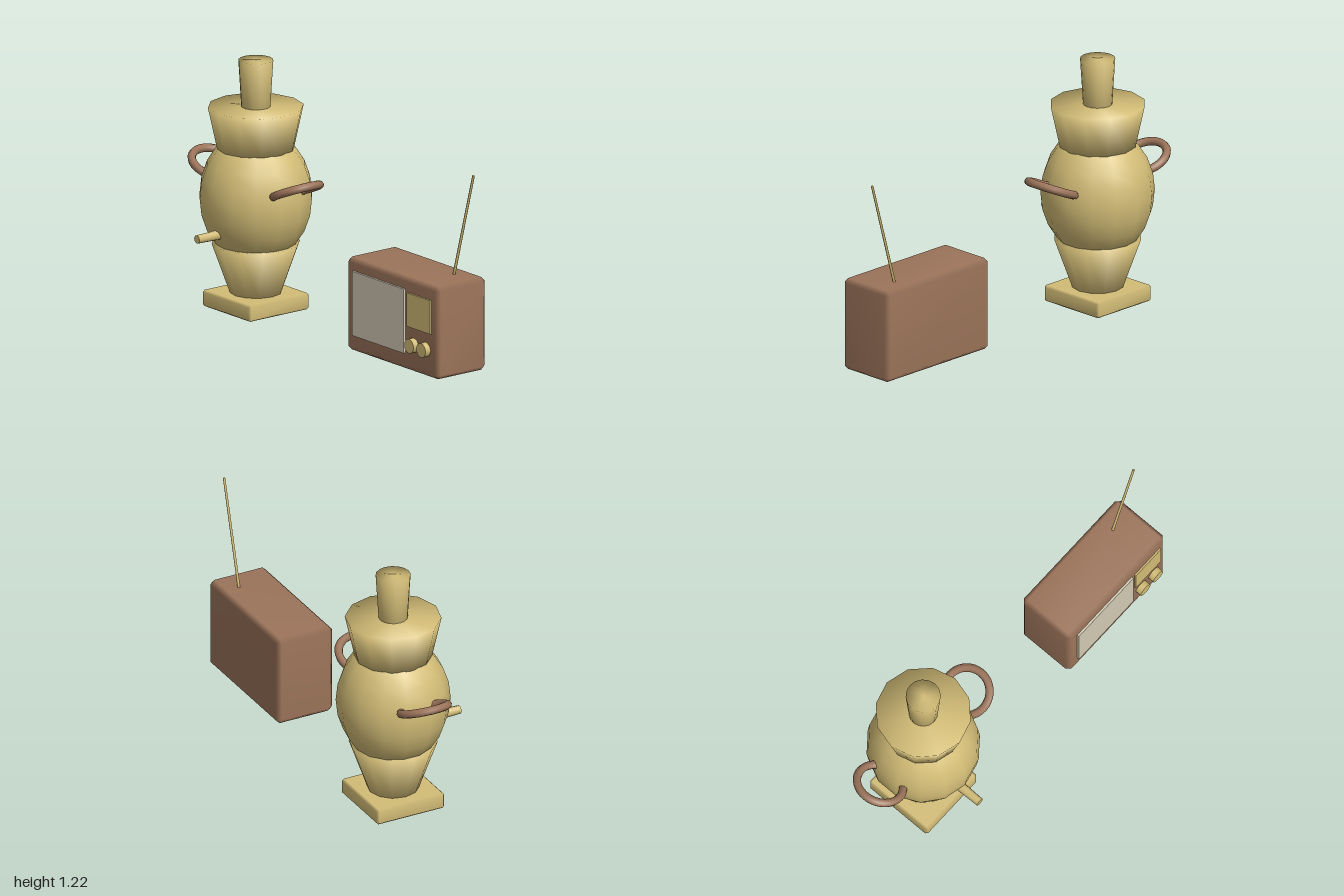
import * as THREE from 'three';
import { mergeVertices } from 'three/addons/utils/BufferGeometryUtils.js';
import { ConvexGeometry } from 'three/addons/geometries/ConvexGeometry.js';

const mat = (name, color) => {
  const m = new THREE.MeshStandardMaterial({ color });
  m.name = name;
  return m;
};

// Chamfered box with softly averaged normals
function chamferBox(w, h, d, c) {
  const pts = [];
  for (const x of [-1, 1]) for (const y of [-1, 1]) for (const z of [-1, 1])
    for (let axis = 0; axis < 3; axis++) {
      const half = [w / 2, h / 2, d / 2].map((s, i) => (i === axis ? s : s - c));
      pts.push(new THREE.Vector3(x * half[0], y * half[1], z * half[2]));
    }
  let g = new ConvexGeometry(pts);
  g.deleteAttribute('normal');
  g = mergeVertices(g, 1e-4);
  g.computeVertexNormals();
  return g;
}

// Closed solid of revolution from [radius, y] pairs, bottom to top
const turned = (profile, sides) =>
  new THREE.LatheGeometry(profile.map(([r, y]) => new THREE.Vector2(r, y)), sides);

export function createModel() {
  const model = new THREE.Group();
  const gold = mat('brass', 0xd2bc76);
  const brown = mat('brown', 0x9c745a);
  const cream = mat('screen cream', 0xd2cab4);

  const add = (parent, name, geometry, material, x = 0, y = 0, z = 0) => {
    const mesh = new THREE.Mesh(geometry, material);
    mesh.name = name;
    mesh.position.set(x, y, z);
    parent.add(mesh);
    return mesh;
  };

  // Urn
  const urn = new THREE.Group();
  urn.name = 'urn';
  urn.position.set(-0.573, 0, -0.04);
  model.add(urn);

  add(urn, 'base', chamferBox(0.362, 0.08, 0.362, 0.01), gold, 0, 0.04, 0);
  add(urn, 'lowerCup', turned([[0, 0.07], [0.12, 0.07], [0.21, 0.322], [0, 0.322]], 12), gold);

  const belly = [];
  for (let i = 0; i <= 12; i++) {
    const a = (i / 12) * Math.PI;
    belly.push([0.271 * Math.sin(a), 0.55 - 0.32 * Math.cos(a)]);
  }
  add(urn, 'belly', turned(belly, 14), gold);

  add(urn, 'neck', turned([[0, 0.785], [0.184, 0.785], [0.228, 0.988], [0, 0.988]], 12), gold);
  add(urn, 'chimney', turned([[0, 0.97], [0.068, 0.97], [0.083, 1.215], [0, 1.215]], 16), gold);

  const spout = add(urn, 'spout', new THREE.CylinderGeometry(0.021, 0.027, 0.2, 8), gold, 0, 0.398, 0.255);
  spout.rotation.x = Math.PI / 2;

  // Ring handles, tilted upward and open towards the belly
  const arc = 4.6;
  for (const side of [-1, 1]) {
    const handle = new THREE.Group();
    handle.name = side > 0 ? 'leftHandle' : 'rightHandle';
    handle.position.set(side * 0.308, 0.642, 0);
    handle.rotation.z = side * 0.42;
    const ring = new THREE.TorusGeometry(0.113, 0.02, 8, 28, arc);
    ring.rotateZ(-arc / 2 + (side < 0 ? Math.PI : 0));
    ring.rotateX(Math.PI / 2);
    add(handle, 'handleRing', ring, brown);
    urn.add(handle);
  }

  // Portable television
  const set = new THREE.Group();
  set.name = 'television';
  model.add(set);

  add(set, 'cabinet', chamferBox(0.69, 0.455, 0.3, 0.021), brown, 0.638, 0.2475, -0.04);
  add(set, 'screen', new THREE.BoxGeometry(0.39, 0.315, 0.012), cream, 0.547, 0.26, 0.115);
  add(set, 'tuningPanel', new THREE.BoxGeometry(0.18, 0.165, 0.012), gold, 0.85, 0.322, 0.113);
  for (const x of [0.806, 0.896]) {
    const knob = add(set, 'knob', new THREE.CylinderGeometry(0.035, 0.035, 0.04, 16), gold, x, 0.155, 0.12);
    knob.rotation.x = Math.PI / 2;
  }

  // Slanted aerial
  const foot = new THREE.Vector3(0.842, 0.46, -0.1);
  const tip = new THREE.Vector3(0.993, 0.99, -0.1);
  const rod = tip.clone().sub(foot);
  const aerial = add(set, 'aerial', new THREE.CylinderGeometry(0.006, 0.007, rod.length(), 8), gold);
  aerial.position.copy(foot).addScaledVector(rod, 0.5);
  aerial.quaternion.setFromUnitVectors(new THREE.Vector3(0, 1, 0), rod.normalize());

  return model;
}
